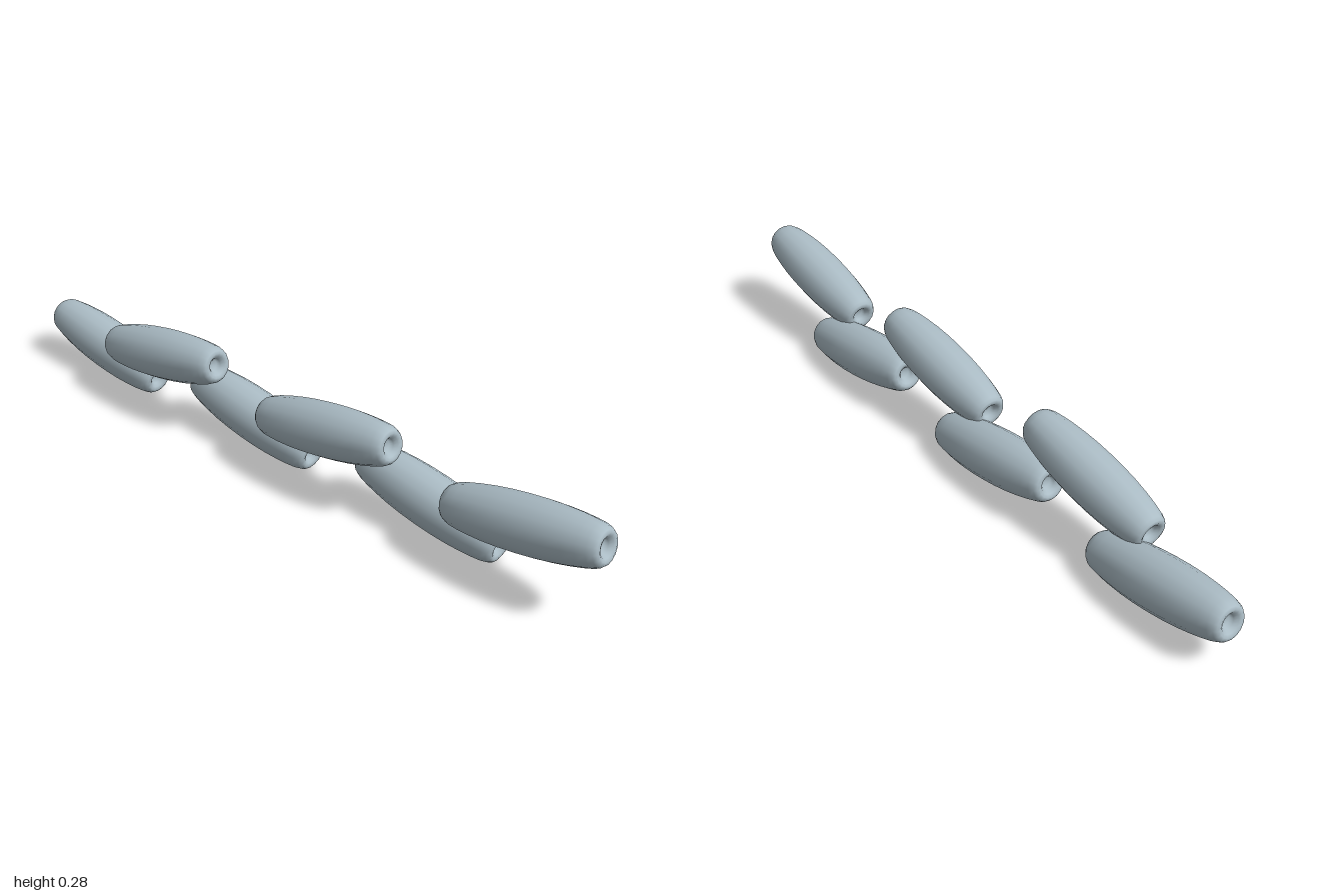
import * as THREE from 'three';

export function createModel() {
  const group = new THREE.Group();
  group.name = 'capsuleChain';
  const steel = new THREE.MeshStandardMaterial({ color: 0xabbcc5 });
  steel.name = 'paleBlueGrey';

  // Half profile of a link (radius, distance along axis): dimple, rim, barrel side
  const half = [
    [0, 0.2], [0.015, 0.2], [0.019, 0.21], [0.027, 0.219], [0.035, 0.2225],
    [0.043, 0.22], [0.049, 0.212], [0.0545, 0.197], [0.0595, 0.172],
    [0.0645, 0.138], [0.069, 0.095], [0.0717, 0.048],
  ];
  const profile = [
    ...half.map(([r, a]) => new THREE.Vector2(r, -a)),
    new THREE.Vector2(0.0725, 0),
    ...half.slice().reverse().map(([r, a]) => new THREE.Vector2(r, a)),
  ];
  const linkGeometry = new THREE.LatheGeometry(profile, 16);
  linkGeometry.rotateZ(-Math.PI / 2); // lay the axis along x

  // Two staggered rows, tilted opposite ways and overlapping in the middle
  const tilt = THREE.MathUtils.degToRad(10);
  const addLink = (name, x, y, z, angle) => {
    const link = new THREE.Mesh(linkGeometry, steel);
    link.name = name;
    link.position.set(x, y, z);
    link.rotation.z = angle;
    group.add(link);
  };
  for (let i = 0; i < 3; i++) {
    addLink(`lowerLink${i + 1}`, -0.776 + i * 0.621, 0.09, -0.025, -tilt);
    addLink(`upperLink${i + 1}`, -0.466 + i * 0.621, 0.189, 0.025, tilt);
  }
  return group;
}
